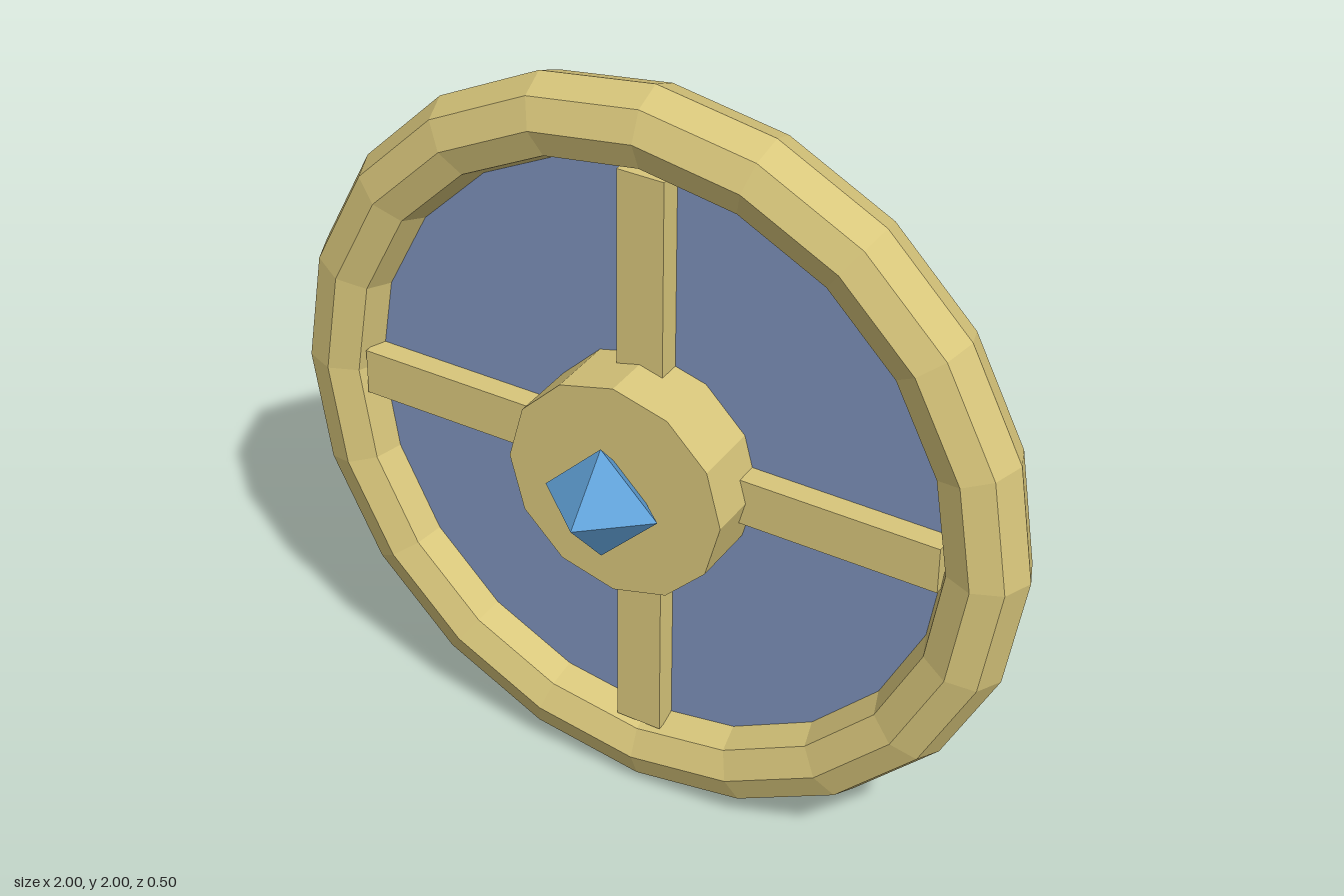
import * as THREE from 'three';

const material = (name, color) => {
  const m = new THREE.MeshStandardMaterial({ color, flatShading: true });
  m.name = name;
  return m;
};

export function createModel() {
  const gold = material('pale gold', 0xd8c67b);
  const blue = material('slate blue', 0x7c90b9);
  const crystal = material('crystal blue', 0x62a3da);

  const model = new THREE.Group();
  model.name = 'roundShield';

  const add = (name, geometry, mat, x, y, z) => {
    const mesh = new THREE.Mesh(geometry, mat);
    mesh.name = name;
    mesh.position.set(x, y, z);
    model.add(mesh);
    return mesh;
  };

  // Flat disc whose axis points forward, spanning back..front in z
  const disc = (name, radius, sides, back, front, mat) =>
    add(name, new THREE.CylinderGeometry(radius, radius, front - back, sides).rotateX(Math.PI / 2),
      mat, 0, 1, (back + front) / 2);

  // Rim, back plate and raised hub
  add('rim', new THREE.TorusGeometry(0.895, 0.105, 8, 20), gold, 0, 1, -0.127);
  disc('backPlate', 0.895, 20, -0.25, -0.12, blue);
  disc('hub', 0.293, 12, -0.125, 0.06, gold);

  // Four spokes from the hub to the rim
  const inner = 0.2, outer = 0.8;
  for (let i = 0; i < 4; i++) {
    const a = i * Math.PI / 2, mid = (inner + outer) / 2;
    const spoke = add('spoke' + (i + 1), new THREE.BoxGeometry(outer - inner, 0.125, 0.08), gold,
      Math.cos(a) * mid, 1 + Math.sin(a) * mid, -0.1);
    spoke.rotation.z = a;
  }

  // Faceted gem set in the hub
  add('gem', new THREE.OctahedronGeometry(1).scale(0.155, 0.155, 0.135), crystal, 0, 1, 0.115);

  return model;
}
